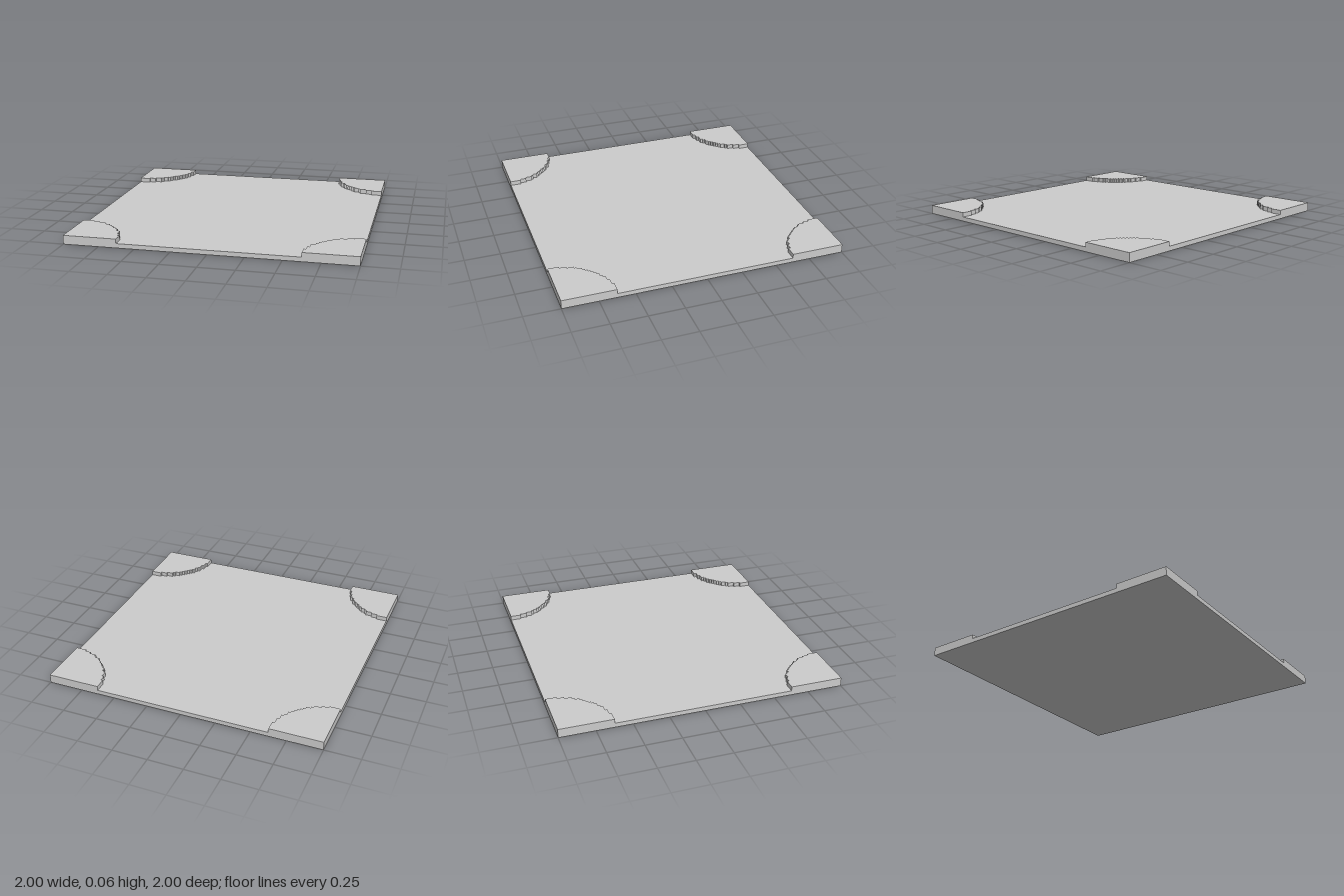
import * as THREE from 'three';

const UNIT = 1 / 64;      // block size of the stepped outline
const RADIUS = 24;        // corner radius in blocks
const BASE = 2 * UNIT;    // plate thickness
const TOP = 4 * UNIT;     // overall height

// Quarter disc made of square blocks, its centre at the plate corner (1, 1)
function steppedQuarter() {
  const shape = new THREE.Shape();
  shape.moveTo(1, 1);
  for (let i = 0; i < RADIUS; i++) {
    const reach = Math.floor(Math.sqrt(RADIUS ** 2 - (i + 0.5) ** 2) + 0.5);
    shape.lineTo(1 - i * UNIT, 1 - reach * UNIT);
    shape.lineTo(1 - (i + 1) * UNIT, 1 - reach * UNIT);
  }
  shape.lineTo(1 - RADIUS * UNIT, 1);
  shape.closePath();
  return shape;
}

export function createModel() {
  const group = new THREE.Group();
  group.name = 'floorTile';
  const material = new THREE.MeshStandardMaterial({ color: 0xcccccc, flatShading: true });

  // Flat square plate
  const plate = new THREE.Mesh(new THREE.BoxGeometry(2, BASE, 2), material);
  plate.name = 'plate';
  plate.position.y = BASE / 2;
  group.add(plate);

  // Raised quarter disc, repeated at the four corners
  const cornerGeometry = new THREE.ExtrudeGeometry(steppedQuarter(), { depth: TOP - BASE, bevelEnabled: false });
  cornerGeometry.rotateX(-Math.PI / 2);
  ['backLeft', 'backRight', 'frontRight', 'frontLeft'].forEach((name, k) => {
    const corner = new THREE.Mesh(cornerGeometry, material);
    corner.name = name + 'Corner';
    corner.position.y = BASE;
    corner.rotation.y = k * Math.PI / 2;
    group.add(corner);
  });

  return group;
}
